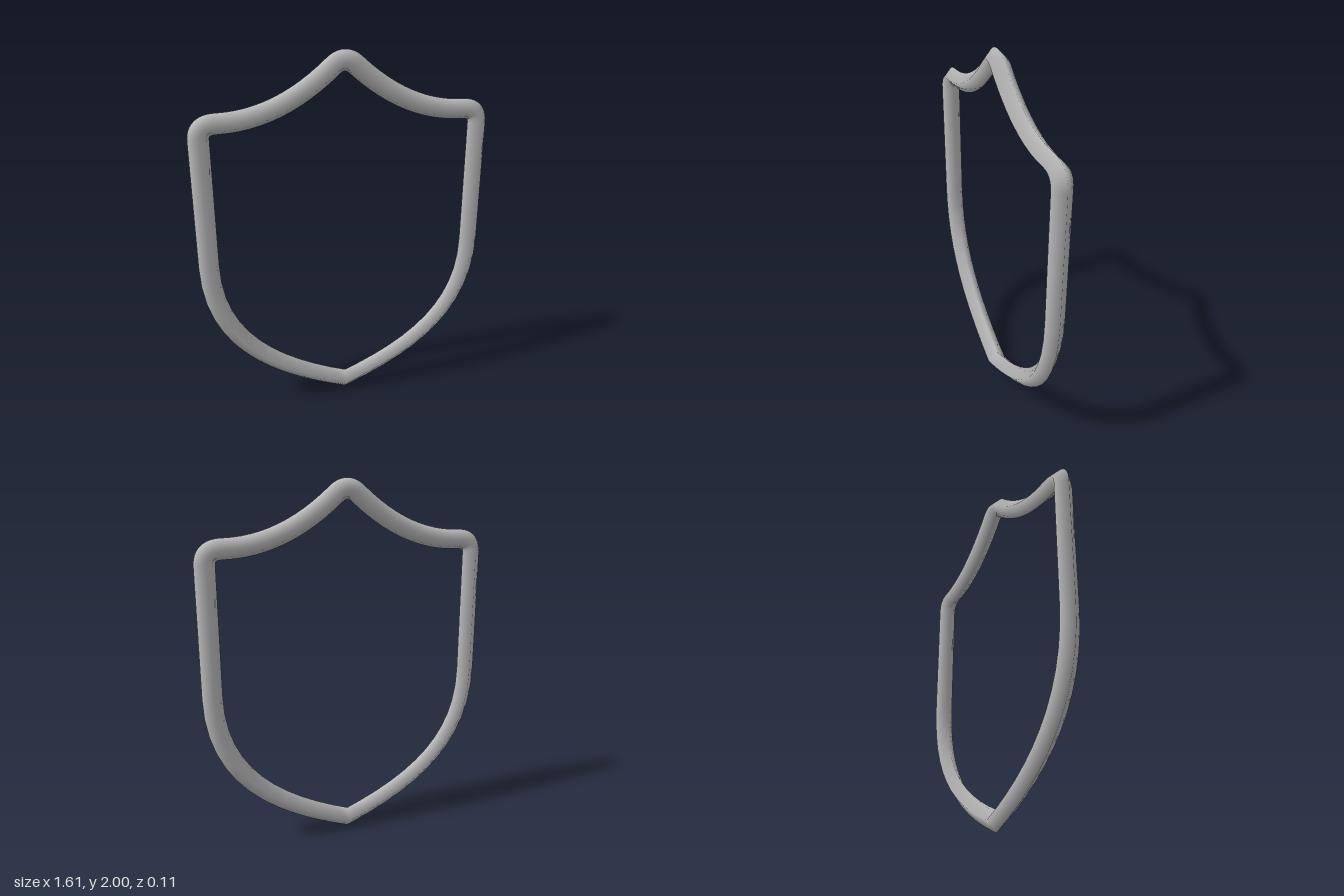
import * as THREE from 'three';

const RADIUS = 0.054;
const SIDES = 4;

// Centre line of the shield outline, anticlockwise from the bottom tip
function outlinePoints() {
  const s = new THREE.Shape();
  s.moveTo(0, 0.058);
  s.bezierCurveTo(0.45, 0.22, 0.752, 0.45, 0.752, 0.9);
  s.lineTo(0.752, 1.585);
  s.quadraticCurveTo(0.752, 1.664, 0.66, 1.664);
  s.bezierCurveTo(0.45, 1.664, 0.25, 1.75, 0.06, 1.92);
  s.quadraticCurveTo(0, 1.972, -0.06, 1.92);
  s.bezierCurveTo(-0.25, 1.75, -0.45, 1.664, -0.66, 1.664);
  s.quadraticCurveTo(-0.752, 1.664, -0.752, 1.585);
  s.lineTo(-0.752, 0.9);
  s.bezierCurveTo(-0.752, 0.45, -0.45, 0.22, 0, 0.058);
  const pts = s.getPoints(12);
  if (pts[0].distanceTo(pts[pts.length - 1]) < 1e-5) pts.pop();
  return pts;
}

// Four-sided ring swept round the closed outline, mitred at each point
function frameGeometry() {
  const pts = outlinePoints();
  const n = pts.length;
  const positions = [], normals = [], index = [];
  pts.forEach((p, i) => {
    const before = p.clone().sub(pts[(i + n - 1) % n]).normalize();
    const after = pts[(i + 1) % n].clone().sub(p).normalize();
    const t = before.clone().add(after).normalize();
    const miter = RADIUS / t.dot(after);
    for (let j = 0; j < SIDES; j++) {
      const a = (j / SIDES) * Math.PI * 2;
      const c = Math.cos(a), s = Math.sin(a);
      positions.push(p.x + t.y * c * miter, p.y - t.x * c * miter, s * RADIUS);
      normals.push(t.y * c, -t.x * c, s);
      const k = (j + 1) % SIDES, next = (i + 1) % n;
      const A = i * SIDES + j, B = next * SIDES + j, C = i * SIDES + k, D = next * SIDES + k;
      index.push(A, B, C, B, D, C);
    }
  });
  const g = new THREE.BufferGeometry();
  g.setAttribute('position', new THREE.Float32BufferAttribute(positions, 3));
  g.setAttribute('normal', new THREE.Float32BufferAttribute(normals, 3));
  g.setIndex(index);
  return g;
}

export function createModel() {
  const grey = new THREE.MeshStandardMaterial({ color: 0xbcbcbc });
  grey.name = 'light grey';
  const frame = new THREE.Mesh(frameGeometry(), grey);
  frame.name = 'shieldFrame';
  const group = new THREE.Group();
  group.name = 'shieldOutline';
  group.add(frame);
  return group;
}
